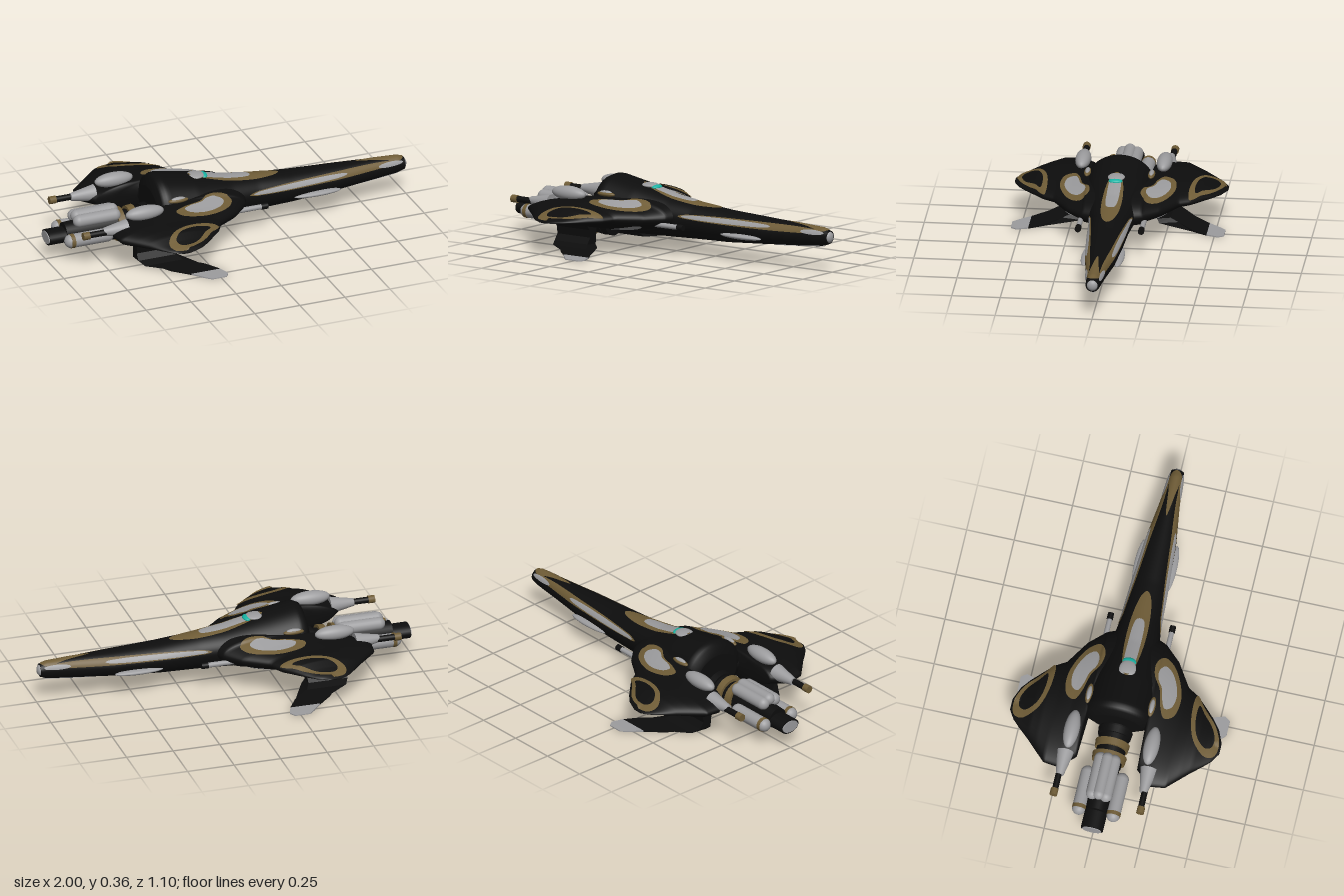
import * as THREE from 'three';

const mat = (name, color) => {
  const m = new THREE.MeshStandardMaterial({ color, side: THREE.DoubleSide });
  m.name = name;
  return m;
};

// hull stations along x: x, half width, top, middle, bottom
const HULL = [
  [-0.43, 0.13, 0.3, 0.2, 0.1], [-0.415, 0.165, 0.35, 0.2, 0.08], [-0.38, 0.182, 0.365, 0.2, 0.07],
  [-0.2, 0.165, 0.332, 0.2, 0.07], [0, 0.125, 0.287, 0.19, 0.075], [0.15, 0.105, 0.268, 0.18, 0.08],
  [0.35, 0.096, 0.25, 0.175, 0.085], [0.6, 0.08, 0.24, 0.17, 0.103], [0.8, 0.052, 0.232, 0.175, 0.118],
  [0.95, 0.037, 0.225, 0.18, 0.132], [0.985, 0.034, 0.214, 0.18, 0.146],
];
// wing stations along z: z, leading x, trailing x, top, middle, bottom
const WING = [
  [0.08, 0.08, -0.42, 0.28, 0.19, 0.1], [0.15, 0.05, -0.43, 0.272, 0.19, 0.105],
  [0.16, 0.045, -0.65, 0.27, 0.19, 0.107], [0.24, -0.03, -0.725, 0.254, 0.19, 0.118],
  [0.32, -0.155, -0.715, 0.246, 0.19, 0.134], [0.38, -0.19, -0.655, 0.242, 0.187, 0.145],
  [0.43, -0.24, -0.605, 0.232, 0.185, 0.156], [0.48, -0.29, -0.56, 0.21, 0.183, 0.165],
  [0.52, -0.34, -0.52, 0.195, 0.181, 0.171], [0.55, -0.41, -0.47, 0.181, 0.178, 0.175],
];

function station(table, v) {
  let i = 0;
  while (i < table.length - 2 && v > table[i + 1][0]) i++;
  const a = table[i], b = table[i + 1];
  const t = THREE.MathUtils.clamp((v - a[0]) / (b[0] - a[0]), 0, 1);
  return a.map((p, k) => p + (b[k] - p) * t);
}
const arc = (u) => Math.sqrt(Math.max(0, 1 - u * u));

// surface heights, used to lay inlays on the skin
const hullY = (x, z, s) => {
  const [, w, top, mid, bot] = station(HULL, x);
  return mid + (s > 0 ? top - mid : bot - mid) * arc(z / w);
};
const wingY = (x, z, s) => {
  const [, lead, trail, top, mid, bot] = station(WING, z);
  return mid + (s > 0 ? top - mid : bot - mid) * arc((2 * x - lead - trail) / (lead - trail));
};
const onTop = (lift) => (x, z) => {
  const h = x > -0.43 ? hullY(x, z, 1) : 0;
  const w = z > 0.08 ? wingY(x, z, 1) : 0;
  return [x, Math.max(h, w) + lift, z];
};
const onBottom = (lift) => (x, z) => [x, wingY(x, z, -1) - lift, z];
const onHullBottom = (lift) => (x, z) => [x, hullY(x, z, -1) - lift, z];
const onSide = (lift) => (x, y) => {
  const [, w, top, mid, bot] = station(HULL, x);
  return [x, y, w * arc((y - mid) / (y > mid ? top - mid : mid - bot)) + lift];
};

function build(pos, index) {
  const g = new THREE.BufferGeometry();
  g.setAttribute('position', new THREE.Float32BufferAttribute(pos.flat(), 3));
  g.setIndex(index);
  g.computeVertexNormals();
  return g;
}

// skin over closed rings, with both ends capped
function loft(rings, flat = false) {
  const n = rings[0].length, pos = rings.flat(), index = [];
  for (let i = 0; i < rings.length - 1; i++) for (let j = 0; j < n; j++) {
    const a = i * n + j, b = i * n + (j + 1) % n;
    index.push(a, b, a + n, b, b + n, a + n);
  }
  [0, rings.length - 1].forEach((r, end) => {
    const base = pos.length;
    const c = [0, 1, 2].map((k) => rings[r].reduce((s, p) => s + p[k], 0) / n);
    pos.push(...rings[r], c);
    for (let j = 0; j < n; j++) {
      const a = base + j, b = base + (j + 1) % n;
      index.push(base + n, end ? a : b, end ? b : a);
    }
  });
  const g = build(pos, index);
  if (!flat) return g;
  const f = g.toNonIndexed();
  f.computeVertexNormals();
  return f;
}

// thin inlay: concentric rings of an outline projected onto the skin
function patch(outline, project, scale = 1) {
  const pts = new THREE.CatmullRomCurve3(outline.map(([a, b]) => new THREE.Vector3(a, b, 0)), true)
    .getPoints(64).slice(0, 64);
  const c = pts.reduce((s, p) => s.add(p), new THREE.Vector3()).divideScalar(64);
  const pos = [], index = [], R = 10;
  for (let r = 0; r <= R; r++) for (const p of pts) {
    const k = (r / R) * scale;
    pos.push(project(c.x + (p.x - c.x) * k, c.y + (p.y - c.y) * k));
  }
  for (let r = 0; r < R; r++) for (let j = 0; j < 64; j++) {
    const a = r * 64 + j, b = r * 64 + (j + 1) % 64;
    index.push(a, b, a + 64, b, b + 64, a + 64);
  }
  const g = build(pos, index);
  // make the faces look away from the skin
  const nrm = g.attributes.normal, mid = 5 * 64;
  const want = new THREE.Vector3(...project(c.x, c.y)).sub(new THREE.Vector3(0, 0.18, 0));
  want.x = 0;
  if (want.dot(new THREE.Vector3().fromBufferAttribute(nrm, mid)) < 0) {
    g.setIndex(index.reverse());
    g.computeVertexNormals();
  }
  return g;
}
const oval = (cx, cy, rx, ry, p = 1) => Array.from({ length: 16 }, (_, i) => {
  const a = (i / 16) * Math.PI * 2, c = Math.cos(a), s = Math.sin(a);
  return [cx + rx * Math.sign(c) * Math.abs(c) ** p, cy + ry * Math.sign(s) * Math.abs(s) ** p];
});

export function createModel() {
  const black = mat('black hull', 0x0d0d0d), gold = mat('dull gold', 0x6f5c36);
  const gray = mat('light gray', 0x9c9c9e), teal = mat('teal glass', 0x17b3a3);
  const model = new THREE.Group(), side = new THREE.Group();
  model.name = 'spacecraft';
  side.name = 'leftSide';

  const add = (parent, name, geo, m) => {
    const mesh = new THREE.Mesh(geo, m);
    mesh.name = name;
    parent.add(mesh);
    return mesh;
  };
  const ellipsoid = (parent, name, m, p, r) => {
    const e = add(parent, name, new THREE.SphereGeometry(1, 28, 18), m);
    e.position.set(...p);
    e.scale.set(...r);
    return e;
  };
  // cylinder along x, radius r0 at x0 and r1 at x1
  const tube = (parent, name, m, x0, x1, r0, r1, y, z, flatten = 1) => {
    const g = new THREE.CylinderGeometry(r1, r0, x1 - x0, 28).rotateZ(-Math.PI / 2);
    const t = add(parent, name, g, m);
    t.position.set((x0 + x1) / 2, y, z);
    t.scale.y = flatten;
    return t;
  };
  const capsule = (parent, name, m, x0, x1, r, y, z) => {
    const g = new THREE.CapsuleGeometry(r, x1 - x0 - 2 * r, 8, 24).rotateZ(Math.PI / 2);
    add(parent, name, g, m).position.set((x0 + x1) / 2, y, z);
  };

  // fuselage
  const hullRings = [];
  for (let i = 0; i <= 94; i++) {
    const [x, w, top, mid, bot] = station(HULL, -0.43 + i * (1.415 / 94));
    hullRings.push(Array.from({ length: 64 }, (_, j) => {
      const a = (-j / 64) * Math.PI * 2, s = Math.sin(a);
      return [x, mid + (s > 0 ? top - mid : mid - bot) * s, w * Math.cos(a)];
    }));
  }
  add(model, 'fuselage', loft(hullRings), black);
  ellipsoid(model, 'noseCap', gray, [0.98, 0.18, 0], [0.02, 0.03, 0.029]);
  add(model, 'noseTopInlay', patch([[0.72, 0], [0.84, 0.018], [0.96, 0.027], [0.982, 0], [0.96, -0.027],
    [0.84, -0.018]], onTop(0.003)), gold);
  add(model, 'chinInlay', patch(oval(0.8, 0, 0.17, 0.016), onHullBottom(0.003)), gray);

  // dorsal inlay and cockpit
  add(model, 'dorsalSurround', patch(oval(0.04, 0, 0.25, 0.052), onTop(0.003)), gold);
  add(model, 'dorsalStrip', patch(oval(-0.025, 0, 0.155, 0.033, 0.6), onTop(0.006)), gray);
  ellipsoid(model, 'cockpitHood', gray, [-0.17, 0.324, 0], [0.05, 0.013, 0.044]);
  ellipsoid(model, 'cockpitGlass', teal, [-0.128, 0.318, 0], [0.022, 0.013, 0.036]);

  // central engine: neck with collars, twin tanks and exhaust
  tube(model, 'engineNeck', black, -0.64, -0.4, 0.07, 0.085, 0.12, 0);
  for (const x of [-0.6, -0.53, -0.46]) tube(model, 'neckCollar', x < -0.5 ? gold : black, x - 0.018, x + 0.018, 0.086, 0.09, 0.125, 0);
  tube(model, 'engineCore', black, -0.9, -0.6, 0.055, 0.07, 0.13, 0);
  tube(model, 'exhaust', black, -0.995, -0.85, 0.058, 0.058, 0.122, 0, 0.66);
  tube(model, 'exhaustFace', gray, -1, -0.995, 0.05, 0.05, 0.122, 0, 0.62);
  capsule(model, 'upperTank', gray, -0.86, -0.6, 0.032, 0.215, 0);

  // wing
  const wingRings = [];
  const zs = [...Array.from({ length: 48 }, (_, i) => 0.08 + i * 0.01), 0.155];
  zs.sort((a, b) => a - b).forEach((z) => {
    const [, lead, trail, top, mid, bot] = station(WING, z);
    wingRings.push(Array.from({ length: 64 }, (_, j) => {
      const a = (j / 64) * Math.PI * 2, s = Math.sin(a);
      return [(lead + trail) / 2 + (lead - trail) / 2 * Math.cos(a), mid + (s > 0 ? top - mid : mid - bot) * s, z];
    }));
  });
  add(side, 'wing', loft(wingRings), black);

  // wing inlays
  const tip = [[-0.19, 0.375], [-0.32, 0.37], [-0.45, 0.41], [-0.51, 0.48], [-0.495, 0.525], [-0.43, 0.54], [-0.34, 0.505], [-0.25, 0.425]];
  add(side, 'wingTipLoop', patch(tip, onTop(0.003)), gold);
  add(side, 'wingTipCentre', patch(tip, onTop(0.006), 0.68), black);
  const kidney = [[-0.37, 0.235], [-0.35, 0.28], [-0.26, 0.3], [-0.155, 0.275], [-0.065, 0.22], [-0.04, 0.17],
    [-0.085, 0.135], [-0.155, 0.14], [-0.22, 0.18], [-0.315, 0.205]];
  add(side, 'shoulderSurround', patch(kidney, onTop(0.003)), gold);
  add(side, 'shoulderPanel', patch(kidney, onTop(0.007), 0.7), gray);
  add(side, 'bellyPanel', patch(oval(-0.16, 0.225, 0.1, 0.035), onBottom(0.003)), gray);

  // wing pods
  ellipsoid(side, 'wingPod', gray, [-0.535, 0.272, 0.21], [0.105, 0.038, 0.04]);
  ellipsoid(side, 'smallPodRing', gold, [-0.33, 0.283, 0.165], [0.055, 0.013, 0.018]);
  ellipsoid(side, 'smallPod', gray, [-0.33, 0.289, 0.165], [0.04, 0.013, 0.013]);

  // hull side inlays and lower pods
  add(side, 'sideBand', patch(oval(0.52, 0.207, 0.43, 0.018, 0.8), onSide(0.003)), gold);
  add(side, 'sidePanel', patch(oval(0.38, 0.208, 0.27, 0.012, 0.8), onSide(0.006)), gray);
  add(side, 'noseSidePanel', patch(oval(0.9, 0.203, 0.07, 0.012), onSide(0.006)), gray);
  ellipsoid(side, 'lowerPod', gray, [0.475, 0.138, 0.085], [0.13, 0.014, 0.026]);

  // forward gun
  tube(side, 'gunBarrel', gray, -0.1, 0.15, 0.014, 0.013, 0.16, 0.163);
  tube(side, 'gunMuzzle', black, 0.13, 0.165, 0.016, 0.016, 0.16, 0.163);

  // rear gun
  tube(side, 'rearGunMount', gray, -0.77, -0.64, 0.02, 0.045, 0.21, 0.22);
  tube(side, 'rearGunBarrel', black, -0.86, -0.75, 0.016, 0.016, 0.208, 0.226);
  tube(side, 'rearGunMuzzle', gold, -0.885, -0.85, 0.02, 0.02, 0.208, 0.228);

  // side engine nacelle and upper tank
  capsule(side, 'nacelle', gray, -0.93, -0.66, 0.036, 0.122, 0.09);
  tube(side, 'nacelleRing', gold, -0.9, -0.88, 0.037, 0.037, 0.122, 0.09);
  capsule(side, 'sideTank', gray, -0.86, -0.6, 0.033, 0.2, 0.036);

  // landing fin: inner z, y and outer z, y, trailing and leading x
  const fin = [
    [0.178, 0.15, 0.28, 0.15, -0.59, -0.38], [0.18, 0.1, 0.24, 0.1, -0.59, -0.38], [0.184, 0.06, 0.235, 0.06, -0.59, -0.38],
    [0.188, 0.02, 0.258, 0.028, -0.59, -0.38], [0.2, 0.003, 0.3, 0.013, -0.57, -0.36],
    [0.38, 0, 0.38, 0.009, -0.46, -0.27], [0.46, 0, 0.46, 0.007, -0.38, -0.22],
    [0.52, 0, 0.52, 0.006, -0.33, -0.2], [0.55, 0, 0.55, 0.005, -0.3, -0.22],
  ].map(([z0, y0, z1, y1, b, f]) => [[b, y0, z0], [b, y1, z1], [f, y1, z1], [f, y0, z0]].reverse());
  add(side, 'landingFin', loft(fin.slice(0, 7), true), black);
  add(side, 'landingFinTip', loft(fin.slice(6), true), gray);

  const other = side.clone();
  other.name = 'rightSide';
  other.scale.z = -1;
  model.add(side, other);
  return model;
}
